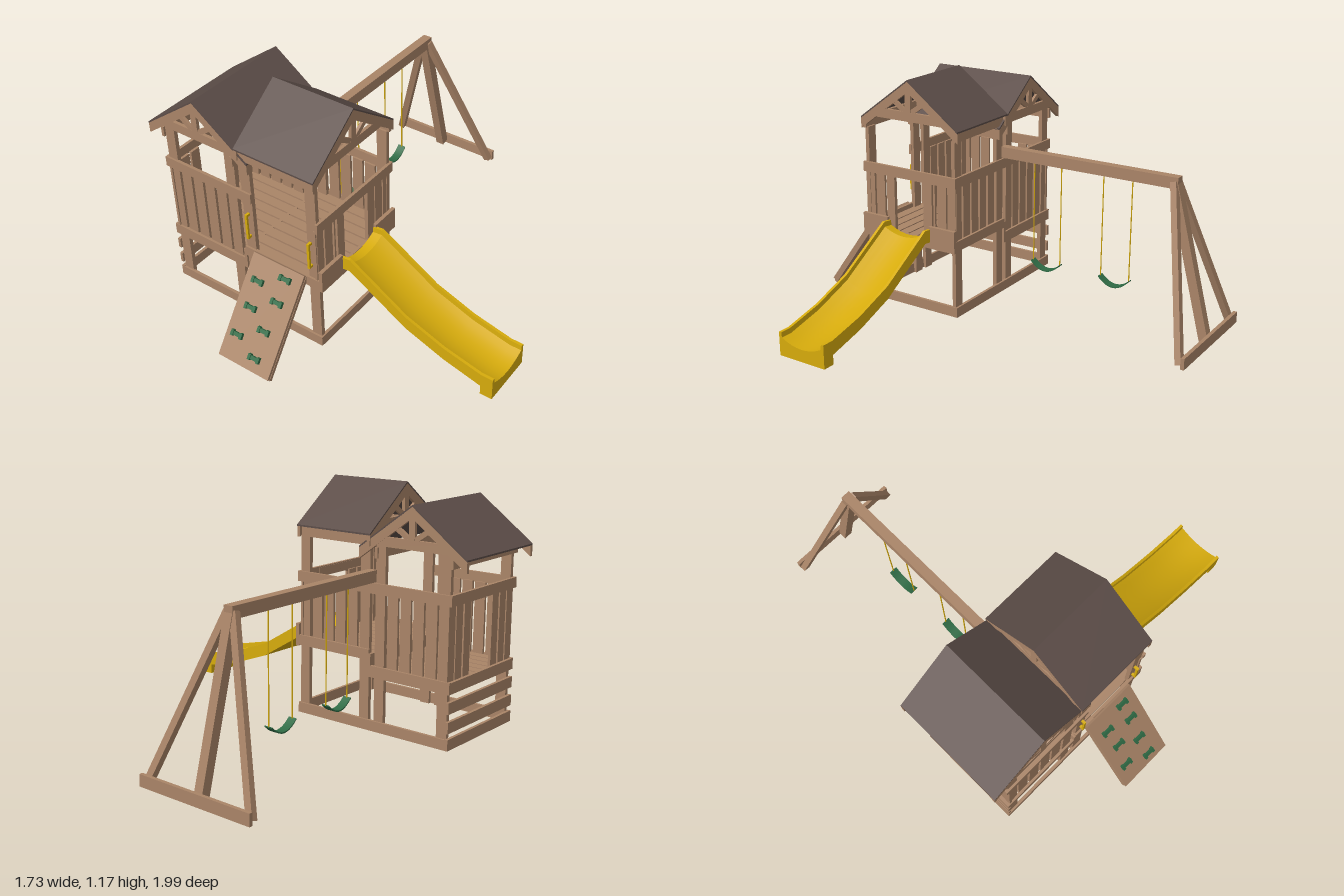
import * as THREE from 'three';
import { toCreasedNormals } from 'three/addons/utils/BufferGeometryUtils.js';

const mat = (name, color, side = THREE.FrontSide) => {
  const m = new THREE.MeshStandardMaterial({ color, side });
  m.name = name;
  return m;
};

export function createModel() {
  const root = new THREE.Group();
  root.name = 'playset';
  const wood = mat('wood', 0xa98467), roofing = mat('roofing', 0x5c4d48);
  const yellow = mat('yellowPlastic', 0xd6ab0c), green = mat('greenPlastic', 0x2f6b45);

  const add = (name, geo, m, parent = root) => {
    const mesh = new THREE.Mesh(geo, m);
    mesh.name = name;
    parent.add(mesh);
    return mesh;
  };
  // box given by its limits
  const box = (name, x0, x1, y0, y1, z0, z1, m = wood, parent = root) => {
    const b = add(name, new THREE.BoxGeometry(x1 - x0, y1 - y0, z1 - z0), m, parent);
    b.position.set((x0 + x1) / 2, (y0 + y1) / 2, (z0 + z1) / 2);
    return b;
  };
  // square-cut beam between two points
  const beam = (name, a, b, w, h, up = [0, 1, 0], parent = root) => {
    const p = new THREE.Vector3(...a), q = new THREE.Vector3(...b);
    const mesh = add(name, new THREE.BoxGeometry(w, h, p.distanceTo(q)), wood, parent);
    mesh.quaternion.setFromRotationMatrix(new THREE.Matrix4().lookAt(q, p, new THREE.Vector3(...up)));
    mesh.position.copy(p).add(q).multiplyScalar(0.5);
    return mesh;
  };
  const poly = pts => new THREE.Shape(pts.map(p => new THREE.Vector2(...p)));
  const extrude = (shape, depth) =>
    new THREE.ExtrudeGeometry(shape, { depth, bevelEnabled: false, curveSegments: 10 });

  // --- tower frame: front and back faces
  const Z0 = 0.14, Z1 = 0.69;
  for (const front of [true, false]) {
    const layer = (name, x0, x1, y0, y1, d0, d1) => front
      ? box(name, x0, x1, y0, y1, Z1 - d1, Z1 - d0)
      : box(name, x0, x1, y0, y1, Z0 + d0, Z0 + d1);
    for (const [x, top] of [[-0.785, 0.9], [-0.44, 0.9], [-0.355, 0.9], [0, 0.9]])
      layer('post', x, x + 0.053, 0.02, top, 0.01, 0.03);
    layer('bottomRail', -0.8, 0.06, 0.02, 0.07, 0, 0.015);
    layer('leftDeckRail', -0.8, -0.36, 0.28, 0.335, 0, 0.015);
    layer('rightDeckRail', -0.36, 0.06, 0.36, 0.41, 0, 0.015);
    layer('eaveBeam', -0.36, 0.06, 0.895, 0.95, 0.002, 0.02);
    layer('topRail', -0.8, front ? -0.3 : 0.06, 0.675, 0.725, 0, 0.015);
    for (let i = 0; i < 4; i++) layer('baluster', -0.72 + i * 0.07, -0.664 + i * 0.07, 0.33, 0.68, 0.012, 0.025);
    if (!front) for (let i = 0; i < 4; i++)
      layer('baluster', -0.283 + i * 0.07, -0.227 + i * 0.07, 0.4, 0.68, 0.012, 0.025);
  }

  // --- left end wall with slats
  for (const y of [0.02, 0.1, 0.19, 0.28]) box('endSlat', -0.8, -0.785, y, y + 0.053, Z0, Z1);
  box('endTopRail', -0.8, -0.785, 0.675, 0.725, Z0, Z1);
  box('endEaveBeam', -0.8, -0.785, 0.84, 0.89, Z0, Z1);
  box('innerEaveBeam', -0.4, -0.385, 0.84, 0.89, Z0, Z1);
  // --- right end wall around the slide
  box('endBottomRail', 0.045, 0.06, 0.02, 0.07, Z0, Z1);
  box('endTopRail', 0.05, 0.065, 0.675, 0.725, Z0, Z1);
  box('slideSill', 0.06, 0.078, 0.355, 0.392, Z0, Z1);
  box('slideSideBoard', 0.06, 0.078, 0.392, 0.465, 0.54, Z1);
  box('slideSideBoard', 0.06, 0.078, 0.392, 0.465, Z0, 0.29);
  for (const z of [0.145, 0.205, 0.27, 0.507, 0.572, 0.634]) {
    box('endBaluster', -0.785, -0.772, 0.33, 0.68, z, z + 0.052);
    box('endBaluster', 0.038, 0.05, 0.38, 0.68, z, z + 0.052);
  }
  const arch = poly([[0.28, 0.39], [0.55, 0.39], [0.55, 0.72], [0.28, 0.72]]);
  arch.holes.push(poly([[0.33, 0.395], [0.33, 0.67], [0.415, 0.7], [0.503, 0.67], [0.503, 0.395]]));
  const archMesh = add('slideArchPanel', extrude(arch, 0.014), wood);
  archMesh.rotation.y = -Math.PI / 2;
  archMesh.position.x = 0.062;

  // --- decks at two levels
  for (let i = 0; i < 9; i++) {
    const z = 0.157 + i * 0.0578;
    box('leftDeckPlank', -0.785, -0.36, 0.312, 0.33, z, z + 0.05);
    box('rightDeckPlank', -0.36, 0.06, 0.372, 0.39, z, z + 0.05);
  }
  box('deckStep', -0.37, -0.355, 0.28, 0.39, Z0, Z1);

  // --- gable trusses and roofs, apex at the local origin
  const S = 0.285, D = 0.21;
  const chevron = (t0, t1) => poly([[-S, -D - t1], [0, -t1], [S, -D - t1], [S, -D - t0], [0, -t0], [-S, -D - t0]]);
  const gabledRoof = (name, length) => {
    const g = new THREE.Group();
    g.name = name;
    add('roofSheet', extrude(chevron(0, 0.008), length), roofing, g).position.z = -length / 2;
    for (const s of [-1, 1]) {
      const truss = new THREE.Group();
      truss.name = 'gableTruss';
      truss.position.z = s * (length / 2 - 0.009);
      add('rafters', extrude(chevron(0.007, 0.058), 0.017), wood, truss).position.z = -0.0085;
      box('tieBeam', -0.19, 0.19, -0.2, -0.155, -0.008, 0.008, wood, truss);
      box('kingPost', -0.016, 0.016, -0.16, -0.04, -0.008, 0.008, wood, truss);
      for (const k of [-1, 1])
        beam('strut', [k * 0.01, -0.16, 0], [k * 0.105, -0.095, 0], 0.014, 0.024, [0, 1, 0], truss);
      g.add(truss);
    }
    root.add(g);
    return g;
  };
  gabledRoof('leftRoof', 0.56).position.set(-0.587, 1.1, 0.413);
  const rightRoof = gabledRoof('rightRoof', 0.427);
  rightRoof.position.set(-0.152, 1.16, 0.413);
  rightRoof.rotation.y = -Math.PI / 2;

  // --- slide: trough section swept along x
  const tops = [[-0.13, 0], [-0.116, 0], [-0.114, -0.025]];
  for (let i = 1; i < 8; i++) {
    const u = i / 4 - 1;
    tops.push([u * 0.114, -0.055 + 0.03 * u * u]);
  }
  tops.push([0.114, -0.025], [0.116, 0], [0.13, 0]);
  const stations = [[0.065, 0.45, 0.064], [0.115, 0.455, 0.064], [0.41, 0.275, 0.064],
    [0.61, 0.2, 0.064], [0.8, 0.155, 0.068], [0.801, 0.155, 0.115], [0.86, 0.155, 0.115]];
  const loops = stations.map(([x, y, t]) => [
    ...tops.map(([z, h]) => [x, y + h, 0.412 + z]),
    ...tops.map(([z]) => [x, y - t, 0.412 + z]).reverse()]);
  const pos = [], n = tops.length * 2;
  const quad = (a, b, c, d) => pos.push(...a, ...b, ...c, ...a, ...c, ...d);
  for (let i = 0; i < loops.length - 1; i++) for (let j = 0; j < n; j++) {
    const k = (j + 1) % n;
    quad(loops[i][j], loops[i][k], loops[i + 1][k], loops[i + 1][j]);
  }
  const first = loops[0], last = loops[loops.length - 1];
  for (let j = 0; j < tops.length - 1; j++) {
    quad(last[n - 1 - j], last[j], last[j + 1], last[n - 2 - j]);
    quad(first[n - 2 - j], first[j + 1], first[j], first[n - 1 - j]);
  }
  const slideGeo = new THREE.BufferGeometry();
  slideGeo.setAttribute('position', new THREE.Float32BufferAttribute(pos, 3));
  add('slide', toCreasedNormals(slideGeo, 0.5), yellow);

  // --- climbing wall with holds
  const wall = new THREE.Group();
  wall.name = 'climbingWall';
  wall.position.set(-0.155, 0.21, 0.84);
  wall.rotation.x = -Math.atan2(0.29, 0.4);
  root.add(wall);
  box('climbingBoard', -0.143, 0.143, -0.247, 0.247, -0.008, 0.008, wood, wall);
  for (const s of [-1, 1]) box('sideBatten', s * 0.137 - 0.008, s * 0.137 + 0.008, -0.25, 0.247, -0.024, -0.007, wood, wall);
  for (const [x, y] of [[-0.095, 0.37], [-0.225, 0.32], [-0.095, 0.28], [-0.215, 0.222],
    [-0.11, 0.165], [-0.235, 0.11], [-0.11, 0.06]]) {
    const hx = x + 0.155, hy = (y - 0.21) * 1.235;
    box('climbingHold', hx - 0.03, hx + 0.03, hy - 0.009, hy + 0.009, 0.007, 0.02, green, wall);
    for (const s of [-1, 1])
      box('climbingHoldEnd', hx + s * 0.024 - 0.007, hx + s * 0.024 + 0.007, hy - 0.014, hy + 0.014, 0.007, 0.024, green, wall);
  }
  // --- grab handles beside the wall
  for (const x of [-0.327, 0.018]) {
    box('grabHandle', x - 0.006, x + 0.006, 0.475, 0.61, 0.693, 0.703, yellow);
    for (const y of [0.475, 0.598]) box('handleMount', x - 0.006, x + 0.006, y, y + 0.012, 0.675, 0.7, yellow);
  }

  // --- swing beam and A-frame
  const BX = -0.368;
  box('swingBeam', BX - 0.023, BX + 0.023, 0.73, 0.785, -0.795, 0.155);
  const normal = [0, 0.24, -0.97];
  beam('centreLeg', [BX, 0.755, -0.772], [BX, 0.025, -0.963], 0.045, 0.045, normal);
  beam('leftLeg', [BX + 0.015, 0.76, -0.775], [-0.068, 0.02, -0.97], 0.034, 0.03, normal);
  beam('rightLeg', [BX - 0.015, 0.76, -0.775], [-0.645, 0.02, -0.97], 0.034, 0.03, normal);
  box('footBar', -0.662, -0.05, 0.01, 0.065, -1, -0.982);

  // --- two swings
  const seat = new THREE.Shape();
  seat.moveTo(0, 0.04).quadraticCurveTo(0.077, -0.04, 0.155, 0.04).lineTo(0.155, 0.046)
    .quadraticCurveTo(0.077, -0.034, 0, 0.046);
  const seatGeo = toCreasedNormals(extrude(seat, 0.042), 0.5);
  for (const z of [-0.183, -0.562]) {
    const s = add('swingSeat', seatGeo, green);
    s.rotation.y = -Math.PI / 2;
    s.position.set(BX + 0.021, 0.18, z);
    for (const dz of [0.002, 0.153]) {
      const rope = add('swingRope', new THREE.CylinderGeometry(0.003, 0.003, 0.512, 6), yellow);
      rope.position.set(BX, 0.477, z + dz);
    }
  }
  return root;
}
